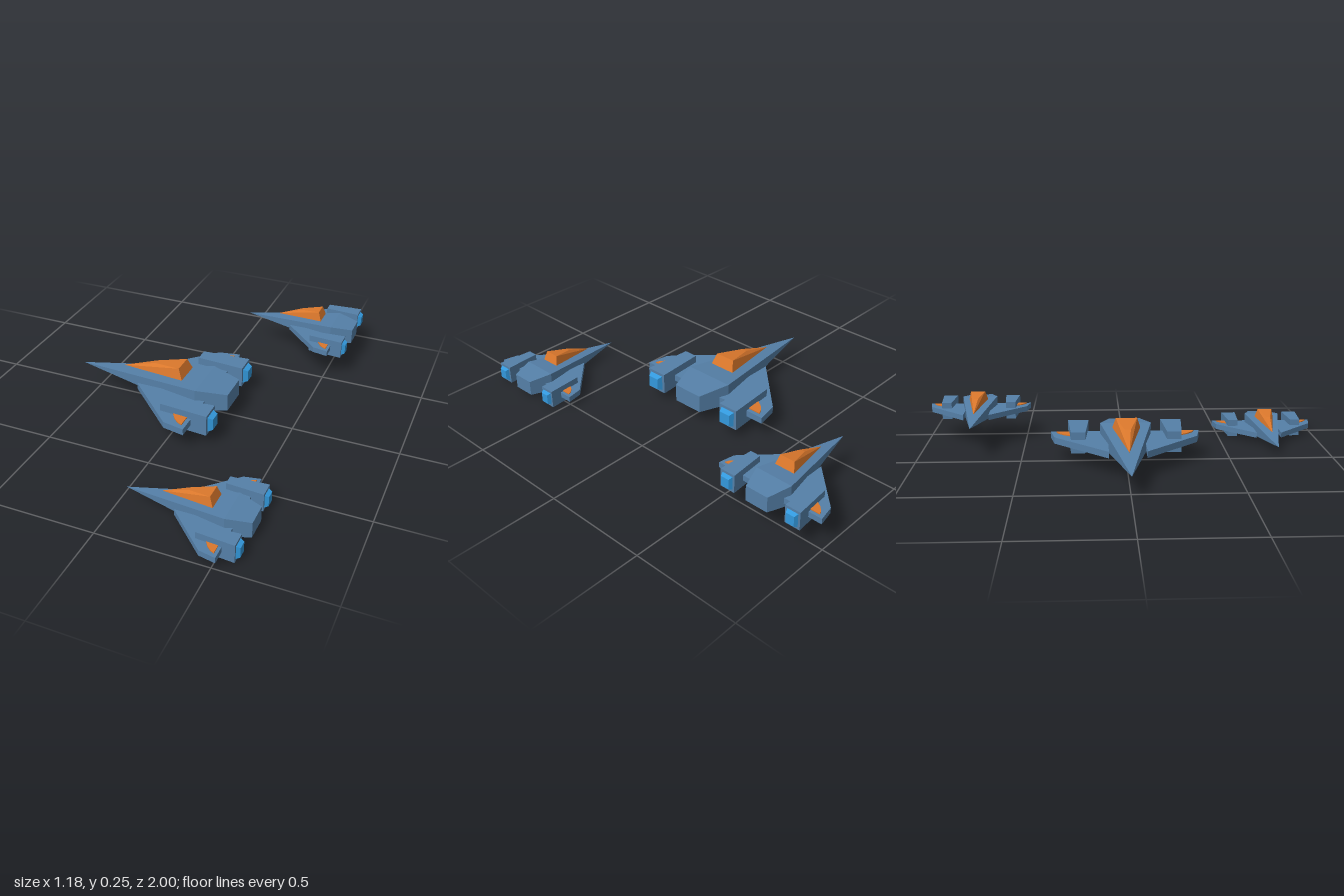
import * as THREE from 'three';
import { ConvexGeometry } from 'three/addons/geometries/ConvexGeometry.js';

const material = (name, color) => {
  const m = new THREE.MeshStandardMaterial({ color, flatShading: true });
  m.name = name;
  return m;
};

// Faceted solid from its corner points
function solid(name, mat, corners) {
  const mesh = new THREE.Mesh(new ConvexGeometry(corners.map(c => new THREE.Vector3(...c))), mat);
  mesh.name = name;
  return mesh;
}

// Four corners of a rectangle facing along x
const section = (x, y0, y1, z0, z1) => [[x, y0, z0], [x, y1, z0], [x, y1, z1], [x, y0, z1]];

// Flat plate: an [x, z] outline given thickness in y
const plate = (outline, y0, y1, side) =>
  outline.flatMap(([x, z]) => [[x, y0, z * side], [x, y1, z * side]]);

// One ship, nose along -x, with its nose tip at y = 0
function createShip(name, mats) {
  const ship = new THREE.Group();
  ship.name = name;

  ship.add(solid('fuselage', mats.hull, [
    [-0.587, 0, 0],
    ...section(0.06, -0.047, 0.06, -0.122, 0.122),
    ...section(0.205, -0.04, 0.045, -0.075, 0.075),
  ]));

  // Canopy floats just above the sloping nose
  ship.add(solid('canopy', mats.orange, [
    [-0.364, 0.036, 0],
    [-0.19, 0.093, -0.014], [-0.19, 0.093, 0.014],
    [-0.052, 0.113, -0.05], [-0.052, 0.113, 0.05],
    [-0.03, 0.062, -0.066], [-0.03, 0.062, 0.066],
  ]));

  for (const side of [1, -1]) {
    const label = side > 0 ? 'left' : 'right';
    ship.add(solid(label + 'Wing', mats.hull, plate(
      [[-0.253, 0.087], [0, 0.34], [0.104, 0.36], [0.104, 0.087]], -0.023, 0.008, side)));
    ship.add(solid(label + 'WingPanel', mats.orange, plate(
      [[0.005, 0.25], [0.035, 0.297], [0.062, 0.322], [0.085, 0.332], [0.085, 0.25]], 0.007, 0.013, side)));

    // Engine widens towards the nozzle
    ship.add(solid(label + 'Engine', mats.hull, [
      ...section(-0.052, -0.057, 0.044, 0.192 * side, 0.26 * side),
      ...section(0.182, -0.057, 0.044, 0.177 * side, 0.278 * side),
    ]));
    ship.add(solid(label + 'Nozzle', mats.glow, [
      ...section(0.18, -0.044, 0.031, 0.19 * side, 0.265 * side),
      ...section(0.205, -0.034, 0.021, 0.2 * side, 0.255 * side),
    ]));
  }
  return ship;
}

export function createModel() {
  const model = new THREE.Group();
  model.name = 'shipFormation';
  const mats = {
    hull: material('steelBlue', 0x5580a8),
    orange: material('orange', 0xdb782c),
    glow: material('engineBlue', 0x3399dd),
  };

  // Leader in the middle, two smaller escorts behind at different heights
  const leader = createShip('leadShip', mats);
  leader.position.y = 0.11;
  model.add(leader);
  for (const [name, y, z] of [['lowEscort', 0.05, 0.74], ['highEscort', 0.158, -0.74]]) {
    const escort = createShip(name, mats);
    escort.scale.set(0.72, 0.85, 0.72);
    escort.position.set(0.441, y, z);
    model.add(escort);
  }
  return model;
}
